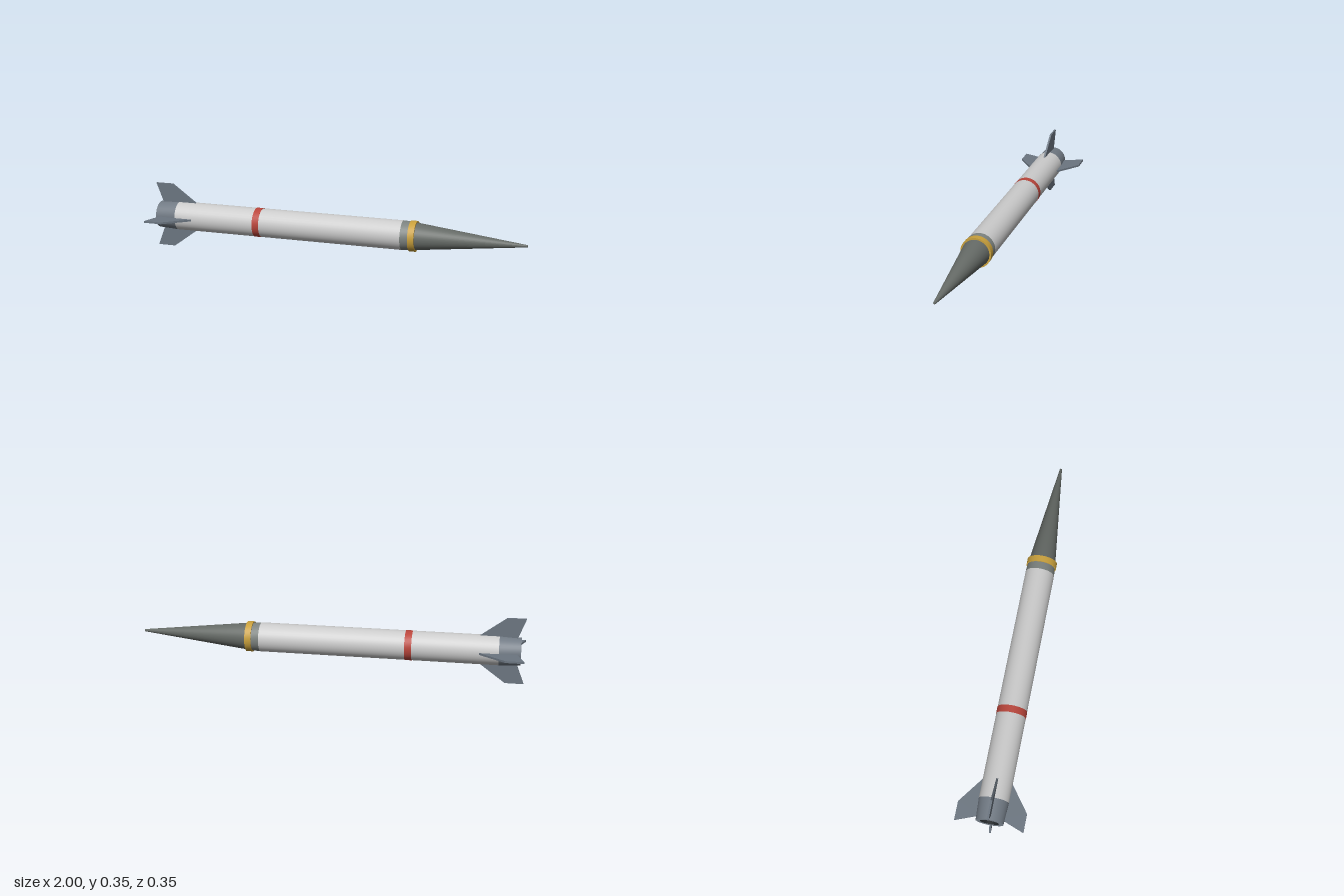
import * as THREE from 'three';
import { toCreasedNormals } from 'three/addons/utils/BufferGeometryUtils.js';

const AXIS_Y = 0.173;
const SEGMENTS = 36;

const material = (color) => new THREE.MeshStandardMaterial({ color });

// Turns a profile of [x, radius] pairs, tail to nose, around the long axis.
function turned(name, profile, mat) {
  const points = profile.map(([x, r]) => new THREE.Vector2(r, x));
  const lathe = new THREE.LatheGeometry(points, SEGMENTS).rotateZ(-Math.PI / 2);
  const mesh = new THREE.Mesh(toCreasedNormals(lathe, 0.5), mat);
  mesh.name = name;
  return mesh;
}

export function createModel() {
  const model = new THREE.Group();
  model.name = 'rocket';
  const rocket = new THREE.Group();
  rocket.name = 'airframe';
  rocket.position.y = AXIS_Y;
  model.add(rocket);

  const white = material(0xd6dad6);
  const steel = material(0x717a84);
  const finGrey = material(0x6b7580);
  const noseGrey = material(0x656a66);
  const collarGrey = material(0x7c827f);
  const gold = material(0xc9a03c);
  const red = material(0xb9453b);
  const dark = material(0x24282b);

  // Main tube, slightly tapered tail and recessed nozzle
  rocket.add(turned('body', [[-0.87, 0.076], [0.365, 0.076]], white));
  rocket.add(turned('tailSection', [[-0.95, 0.048], [-0.98, 0.048], [-0.98, 0.07], [-0.87, 0.076]], steel));
  rocket.add(turned('nozzle', [[-0.95, 0], [-0.95, 0.046], [-0.979, 0.046], [-0.979, 0.049]], dark));

  // Painted band around the tube
  rocket.add(turned('redBand', [[-0.43, 0.07], [-0.43, 0.077], [-0.394, 0.077], [-0.394, 0.07]], red));

  // Nose: collar, gold ring, cone with a small blunt tip
  rocket.add(turned('noseCollar', [[0.365, 0.076], [0.408, 0.0735]], collarGrey));
  rocket.add(turned('goldRing', [[0.405, 0.068], [0.405, 0.079], [0.438, 0.079], [0.438, 0.068]], gold));
  rocket.add(turned('noseCone', [[0.408, 0.0735], [0.998, 0.006], [1, 0.005], [1, 0]], noseGrey));

  // Four swept fins, their roots sunk into the tube
  const outline = new THREE.Shape([
    [-0.955, 0.055], [-0.745, 0.055], [-0.905, 0.173], [-1, 0.173],
  ].map(([x, y]) => new THREE.Vector2(x, y)));
  const finGeometry = new THREE.ExtrudeGeometry(outline, { depth: 0.01, bevelEnabled: false });
  finGeometry.translate(0, 0, -0.005);
  const fins = new THREE.Group();
  fins.name = 'fins';
  for (let i = 0; i < 4; i++) {
    const fin = new THREE.Mesh(finGeometry, finGrey);
    fin.name = `fin${i + 1}`;
    fin.rotation.x = (i * Math.PI) / 2;
    fins.add(fin);
  }
  rocket.add(fins);

  return model;
}
